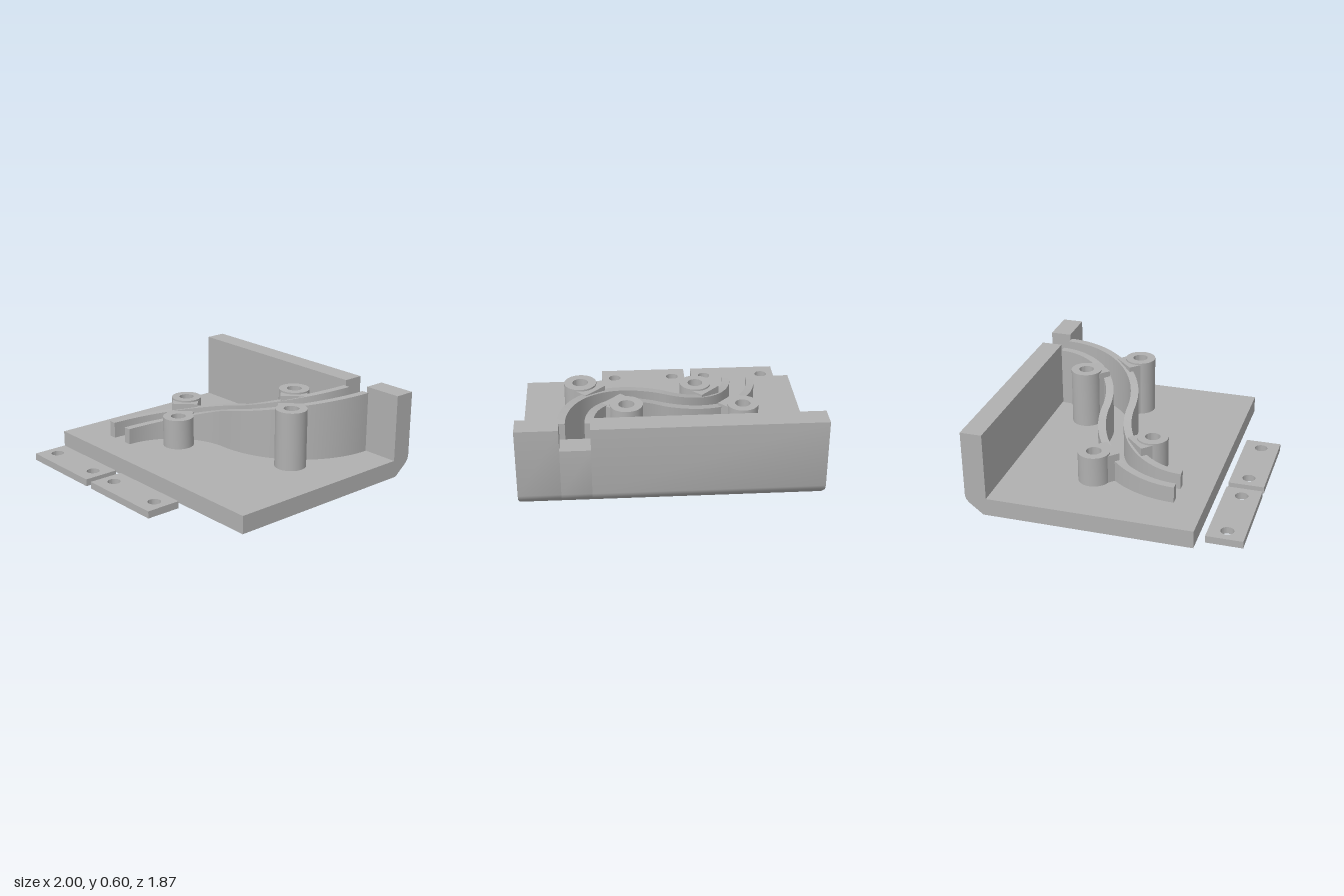
import * as THREE from 'three';
import { toCreasedNormals } from 'three/addons/utils/BufferGeometryUtils.js';

const grey = new THREE.MeshStandardMaterial({ color: 0xb0b0b0 });
grey.name = 'plain grey';

const FLOOR = 0.125; // top of the base slab
const R = 0.6;       // radius of both bends of the track

function add(parent, geometry, name) {
  const mesh = new THREE.Mesh(geometry, grey);
  mesh.name = name;
  parent.add(mesh);
  return mesh;
}

// Slab and back wall as one L-shaped profile, run from x0 to x1
function basePiece(x0, x1, top) {
  const shape = new THREE.Shape([
    [-0.63, 0], [0.81, 0], [0.908, 0.078], [0.926, 0.1], [0.935, FLOOR],
    [0.935, top], [0.785, top], [0.785, FLOOR], [-0.63, FLOOR],
  ].map(([u, v]) => new THREE.Vector2(u, v)));
  const g = new THREE.ExtrudeGeometry(shape, { depth: x1 - x0, bevelEnabled: false });
  g.translate(0, 0, x0).rotateY(Math.PI / 2);
  return toCreasedNormals(g, 0.6);
}

// Point of the S-shaped track at t = 0..2, shifted sideways to its left
function trackPoint(t, left) {
  const a = (t <= 1 ? t : t - 1) * Math.PI / 2;
  if (t <= 1) {
    return [0.02 - (R + left) * Math.cos(a), 0.42 - (R + left) * Math.sin(a), 0.4 - 0.16 * Math.cos(a)];
  }
  return [0.02 + (R - left) * Math.sin(a), -0.78 + (R - left) * Math.cos(a), 0.4 + 0.16 * Math.sin(a)];
}

// Upright rail with a rising top, swept along the track
function railGeometry(left, right) {
  const steps = 56, pos = [], idx = [];
  for (let i = 0; i <= steps; i++) {
    const t = 2 * i / steps;
    const [lx, lz, h] = trackPoint(t, left);
    const [rx, rz] = trackPoint(t, right);
    pos.push(lx, FLOOR, lz, rx, FLOOR, rz, rx, h, rz, lx, h, lz);
    if (i === steps) break;
    for (let k = 0; k < 4; k++) {
      const a = i * 4 + k, b = i * 4 + (k + 1) % 4;
      idx.push(a, a + 4, b + 4, a, b + 4, b);
    }
  }
  const e = steps * 4;
  idx.push(0, 1, 2, 0, 2, 3, e, e + 2, e + 1, e, e + 3, e + 2);
  const g = new THREE.BufferGeometry();
  g.setAttribute('position', new THREE.Float32BufferAttribute(pos, 3));
  g.setIndex(idx);
  return toCreasedNormals(g, 0.6);
}

// Hollow post with a block tying it to the nearby rail
function post(x, z, height, dir) {
  const group = new THREE.Group();
  group.name = 'post';
  group.position.set(x, 0, z);
  group.rotation.y = Math.atan2(-dir, dir);
  const profile = [[0.11, FLOOR], [0.11, height], [0.053, height], [0.053, FLOOR]];
  const tube = new THREE.LatheGeometry(profile.map(([r, y]) => new THREE.Vector2(r, y)), 40);
  add(group, toCreasedNormals(tube, 0.6), 'postTube');
  const h = height - 0.012 - FLOOR;
  const block = add(group, new THREE.BoxGeometry(0.09, h, 0.19), 'postBlock');
  block.position.set(0.1, FLOOR + h / 2, 0);
  return group;
}

// Flat loose plate with two round holes
function plateGeometry() {
  const w = 0.3225, d = 0.125;
  const shape = new THREE.Shape([
    new THREE.Vector2(-w, -d), new THREE.Vector2(w, -d),
    new THREE.Vector2(w, d), new THREE.Vector2(-w, d),
  ]);
  for (const s of [-1, 1]) {
    shape.holes.push(new THREE.Path().absarc(s * 0.225, 0, 0.045, 0, Math.PI * 2, true));
  }
  const g = new THREE.ExtrudeGeometry(shape, { depth: 0.05, bevelEnabled: false, curveSegments: 32 });
  g.rotateX(-Math.PI / 2);
  return toCreasedNormals(g, 0.6);
}

export function createModel() {
  const model = new THREE.Group();
  model.name = 'curvedTrackBase';

  // Base and back wall, with a notch where the track meets the wall
  add(model, basePiece(-1, 0.52, 0.6), 'baseRight');
  add(model, basePiece(0.52, 0.72, 0.45), 'baseNotch');
  add(model, basePiece(0.72, 1, 0.6), 'baseLeft');

  // Two parallel rails
  add(model, railGeometry(0.1175, 0.0625), 'outerRail');
  add(model, railGeometry(-0.0625, -0.1175), 'innerRail');

  // Posts: x, z, height, direction of the block
  for (const p of [
    [0.28, -0.505, 0.54, 1], [0.585, -0.18, 0.54, -1],
    [-0.543, -0.18, 0.34, 1], [-0.236, 0.147, 0.34, -1],
  ]) model.add(post(...p));

  // Loose plates in front
  for (const x of [-0.592, 0.108]) {
    add(model, plateGeometry(), 'plate').position.set(x, 0, 0.81);
  }
  return model;
}
